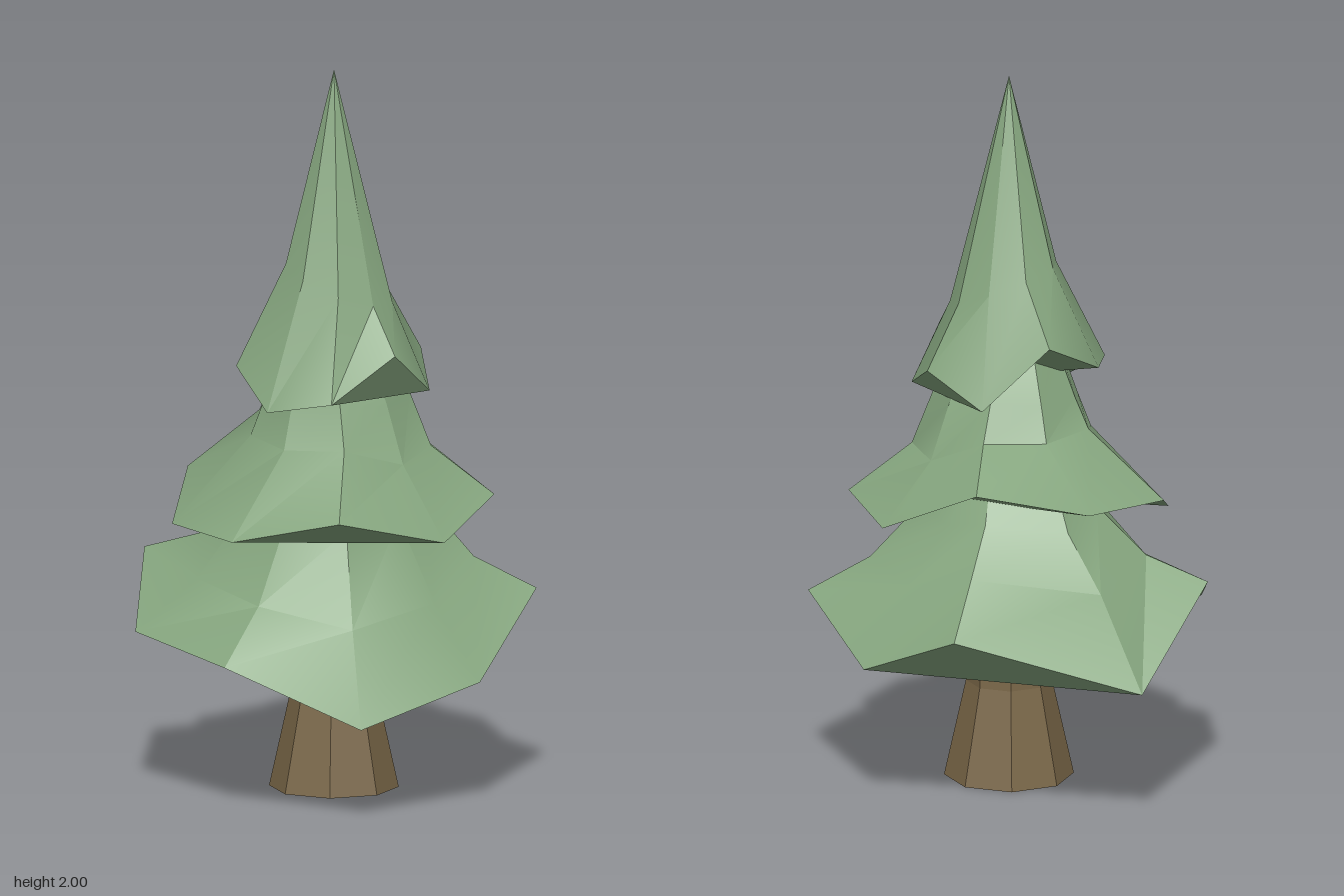
import * as THREE from 'three';
import { toCreasedNormals } from 'three/addons/utils/BufferGeometryUtils.js';

const AXIS = -0.01;
const leaf = new THREE.MeshStandardMaterial({ color: 0x86a67f });
const bark = new THREE.MeshStandardMaterial({ color: 0x7a6748, flatShading: true });

// Rim corners [x, y, z] of each tier, running round from the back left corner
const topRim = [
  [-0.11, 1.29, -0.25], [0.075, 1.115, -0.255], [0.22, 1.2, -0.14],
  [0.255, 1.115, 0.04], [0.17, 1.24, 0.2], [0, 1.115, 0.27],
  [-0.18, 1.08, 0.21], [-0.275, 1.18, 0.055], [-0.25, 1.2, -0.13],
];
const middleRim = [
  [-0.21, 0.87, -0.44], [0.1, 0.935, -0.46], [0.35, 0.8, -0.3],
  [0.43, 0.82, 0], [0.31, 0.735, 0.27], [0.03, 0.81, 0.41],
  [-0.27, 0.74, 0.325], [-0.45, 0.74, 0.07], [-0.425, 0.845, -0.22],
];
const lowerRim = [
  [-0.35, 0.395, -0.57], [0.165, 0.545, -0.555], [0.405, 0.42, -0.38],
  [0.543, 0.55, -0.05], [0.41, 0.355, 0.31], [0.1, 0.268, 0.568],
  [-0.28, 0.42, 0.48], [-0.545, 0.455, 0.16], [-0.545, 0.615, -0.235],
];

// A skirt of branches: the rim is shrunk upward ring by ring to a tip, and the
// underside is a fan of triangles from one rim corner.
// wave: share of the rim's waviness; shift: [x, z] offset; tilt: [x, z] slope
function tier(name, rim, fanCorner, rings, tipY) {
  const n = rim.length;
  const mean = rim.reduce((sum, p) => sum + p[1], 0) / n;
  const loops = [rim];
  for (const { scale, height, wave = 0, shift = [0, 0], tilt = [0, 0] } of rings) {
    loops.push(rim.map(([x, y, z]) => [
      AXIS + (x - AXIS) * scale + shift[0],
      height + (y - mean) * wave + x * tilt[0] + z * tilt[1],
      z * scale + shift[1],
    ]));
  }
  const points = loops.flat();
  const tip = points.length, last = tip - n;
  points.push([AXIS, tipY, 0]);
  const index = [];
  for (let i = 0; i < n; i++) {
    const j = (i + 1) % n;
    for (let r = 0; r < last; r += n) {
      const a = r + i, b = r + j;
      index.push(a, a + n, b, b, a + n, b + n);
    }
    index.push(last + i, tip, last + j);
    if (i !== fanCorner && j !== fanCorner) index.push(fanCorner, i, j);
  }
  const geo = new THREE.BufferGeometry();
  geo.setAttribute('position', new THREE.Float32BufferAttribute(points.flat(), 3));
  geo.setIndex(index);
  const mesh = new THREE.Mesh(toCreasedNormals(geo, 0.5), leaf);
  mesh.name = name;
  return mesh;
}

export function createModel() {
  const tree = new THREE.Group();
  tree.name = 'pineTree';

  // Eight-sided trunk, flared at the foot
  const profile = [[0, 0], [0.178, 0], [0.118, 0.27], [0.11, 0.38], [0.11, 0.6], [0, 0.6]]
    .map(([r, y]) => new THREE.Vector2(r, y));
  const trunk = new THREE.Mesh(new THREE.LatheGeometry(profile, 8), bark);
  trunk.name = 'trunk';
  trunk.position.set(AXIS, 0, 0.004);
  tree.add(trunk);

  // Three overlapping tiers of branches
  tree.add(
    tier('lowerBranches', lowerRim, 2, [
      { scale: 0.69, height: 0.605, wave: 0.3, tilt: [0, -0.07] },
      { scale: 0.44, height: 0.78, wave: 0.15, shift: [0, -0.03] },
      { scale: 0.3, height: 0.95 },
    ], 1.0),
    tier('middleBranches', middleRim, 4, [
      { scale: 0.56, height: 0.98, wave: 0.4, shift: [0.02, 0], tilt: [-0.07, 0] },
      { scale: 0.45, height: 1.1, wave: 0.2, shift: [0.01, 0] },
      { scale: 0.3, height: 1.25 },
    ], 1.35),
    tier('topBranches', topRim, 3, [
      { scale: 0.55, height: 1.41, shift: [0.015, -0.01], tilt: [-0.2, -0.08] },
    ], 2),
  );
  return tree;
}
